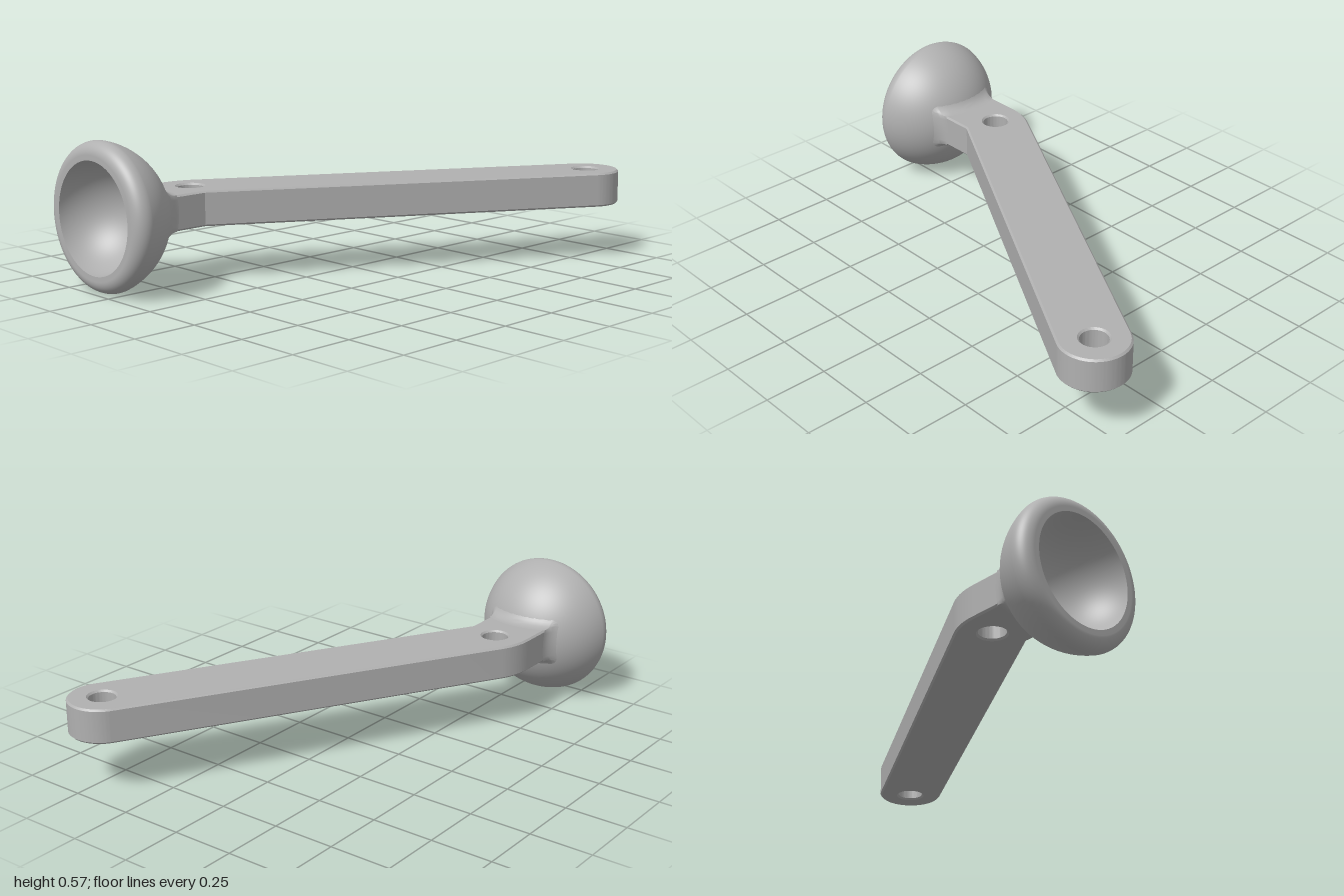
import * as THREE from 'three';
import { toCreasedNormals } from 'three/addons/utils/BufferGeometryUtils.js';

const CX = -0.335, CY = 0.285;          // cup axis
const HW = 0.133, HT = 0.0685;          // arm half width and half thickness
const DOME_Z = 1.01, DOME_R = 0.2927;   // outer sphere of the cup
const PIVOT = [CX, 0.545], TIP = [0.48, -0.865];

// Points on an arc in the (radius, z) plane
function arc(cr, cz, r, a0, a1, n) {
  return Array.from({ length: n + 1 }, (_, i) => {
    const a = a0 + (a1 - a0) * i / n;
    return new THREE.Vector2(Math.max(0, cr + r * Math.cos(a)), cz + r * Math.sin(a));
  });
}

// Bent flat bar with a rounded tip and two chamfered holes
function armGeometry() {
  const s = new THREE.Shape();           // shape y is -z
  const c = Math.cos(Math.PI / 6), h = 0.5;
  const ix = CX + HW, iz = 0.5806;       // inner corner of the bend
  s.moveTo(CX - HW, -0.77);
  s.lineTo(ix, -0.77);
  s.lineTo(ix, -iz);
  s.lineTo(TIP[0] + HW * c, -TIP[1] - HW * h);
  s.absarc(TIP[0], -TIP[1], HW, -Math.PI / 6, Math.PI * 5 / 6, false);
  s.lineTo(ix - 2 * HW * c, -iz + 2 * HW * h);
  s.absarc(ix, -iz, 2 * HW, Math.PI * 5 / 6, Math.PI, false);
  s.closePath();
  for (const [x, z] of [PIVOT, TIP]) {
    s.holes.push(new THREE.Path().absarc(x, -z, 0.052, 0, Math.PI * 2, true));
  }
  const b = 0.007;
  const g = new THREE.ExtrudeGeometry(s, {
    depth: 2 * HT - 2 * b, bevelThickness: b, bevelSize: b, bevelOffset: -b,
    bevelSegments: 1, curveSegments: 32,
  });
  g.rotateX(-Math.PI / 2).translate(0, CY - HT + b, 0);
  return toCreasedNormals(g, 0.5);
}

// Flared blend from the rectangular neck onto the dome
function filletGeometry() {
  const base = [];                       // x, y, normal x, normal y
  const corners = [[1, 1], [-1, 1], [-1, -1], [1, -1]];
  corners.forEach(([sx, sy], k) => {
    for (let i = 0; i <= 6; i++) {
      const a = (k + i / 6) * Math.PI / 2;
      base.push([sx * HW, sy * HT, Math.cos(a), Math.sin(a)]);
    }
    const [nx, ny] = corners[(k + 1) % 4], a = (k + 1) * Math.PI / 2;
    for (let i = 1; i < 8; i++) {
      const t = i / 8;
      base.push([HW * (sx + (nx - sx) * t), HT * (sy + (ny - sy) * t), Math.cos(a), Math.sin(a)]);
    }
  });
  const dome = (x, y) => DOME_Z - Math.sqrt(DOME_R ** 2 - x * x - y * y);
  const n = base.length, steps = 8, pos = [], idx = [];
  for (let j = 0; j <= steps; j++) {
    const t = j / steps;
    for (const [x, y, nx, ny] of base) {
      const ex = x + nx * 0.05, ey = y + ny * 0.05, z0 = dome(x, y);
      const z = (1 - t) ** 2 * (z0 - 0.045) + 2 * t * (1 - t) * z0 + t * t * (dome(ex, ey) + 0.002);
      pos.push(CX + x + (ex - x) * t * t, CY + y + (ey - y) * t * t, z);
    }
  }
  for (let j = 0; j < steps; j++) {
    for (let i = 0; i < n; i++) {
      const a = j * n + i, b = j * n + (i + 1) % n;
      idx.push(a, b, b + n, a, b + n, a + n);
    }
  }
  const g = new THREE.BufferGeometry();
  g.setAttribute('position', new THREE.Float32BufferAttribute(pos, 3));
  g.setIndex(idx);
  return toCreasedNormals(g, 0.6);
}

export function createModel() {
  const model = new THREE.Group();
  const grey = new THREE.MeshStandardMaterial({ color: 0xb0b0b0 });
  grey.name = 'grey';
  const add = (name, geometry) => {
    const m = new THREE.Mesh(geometry, grey);
    m.name = name;
    model.add(m);
  };
  const lathe = pts => new THREE.LatheGeometry(pts, 96).rotateX(Math.PI / 2).translate(CX, CY, 0);

  add('arm', armGeometry());
  add('neckFillet', filletGeometry());

  // Cup: dome running into a rounded rim, then the hollow
  const join = Math.atan2(-0.06, 0.235);
  add('cupOutside', lathe([
    ...arc(0, DOME_Z, DOME_R, -Math.PI / 2, join, 28),
    ...arc(0.235, 0.95, 0.05, join, Math.PI / 2, 16).slice(1),
    new THREE.Vector2(0.215, 1),
  ]));
  add('cupHollow', lathe(arc(0, 1, 0.215, 0, -Math.PI / 2, 28)));
  return model;
}
